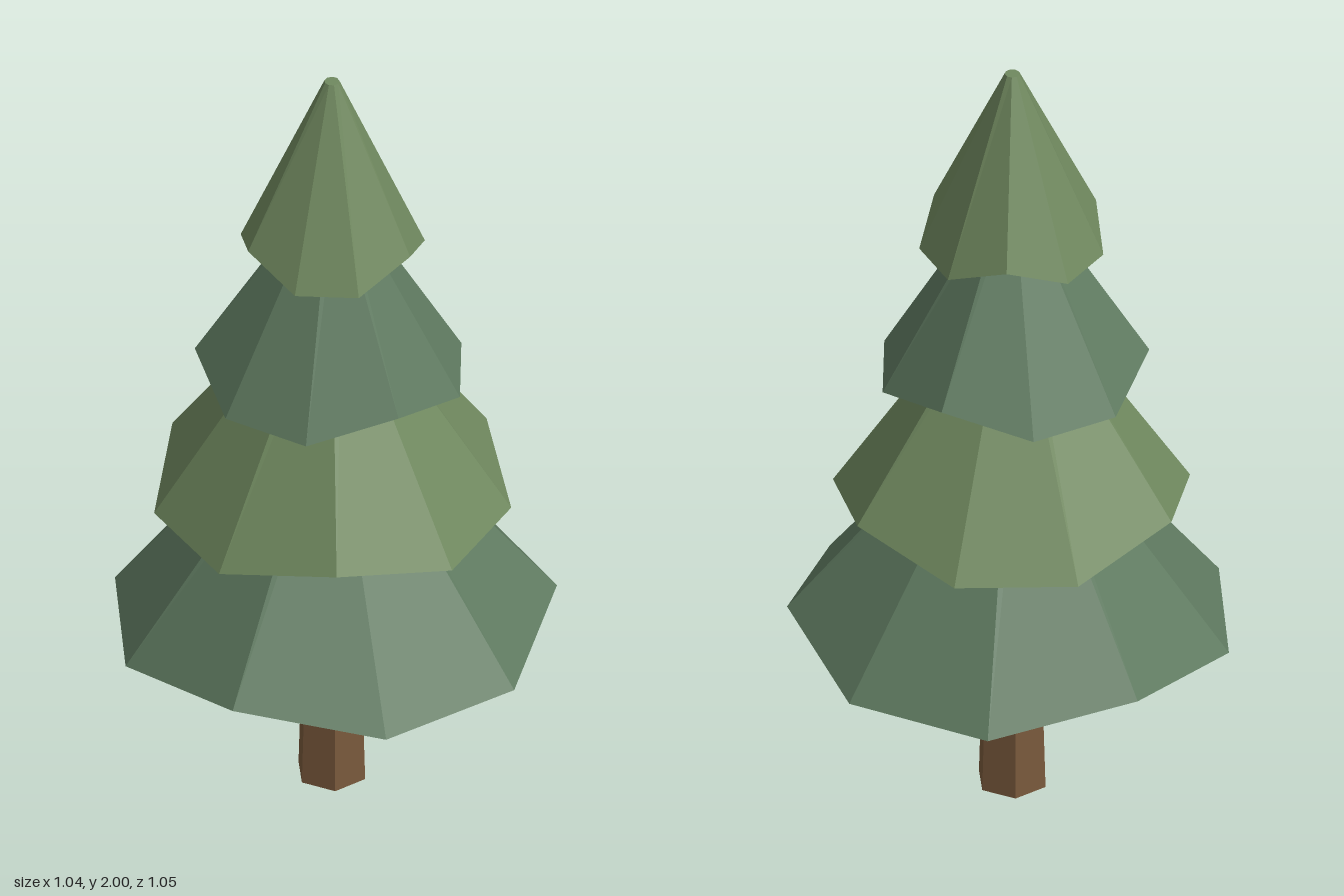
import * as THREE from 'three';

const CENTER_X = 0.012;
const SIDES = 9;
const rad = THREE.MathUtils.degToRad;

const material = (color) => new THREE.MeshStandardMaterial({ color, flatShading: true });

// Nine-sided cone whose rim is lifted at every third corner
function foliageTier(radius, topRadius, rimY, topY, turn) {
  const h = topY - rimY;
  const geo = new THREE.CylinderGeometry(topRadius, radius, h, SIDES, 1);
  geo.translate(0, rimY + h / 2, 0);
  const p = geo.attributes.position;
  for (let i = 0; i < p.count; i++) {
    if (p.getY(i) > rimY + h / 2) continue;
    const x = p.getX(i), z = p.getZ(i);
    if (Math.hypot(x, z) < 0.01) {
      p.setY(i, rimY + 0.018); // middle of the underside
    } else {
      const corner = Math.round(Math.atan2(x, z) / (2 * Math.PI / SIDES));
      if (corner % 3 === 0) p.setY(i, rimY + 0.056);
    }
  }
  geo.rotateY(turn);
  geo.computeVertexNormals();
  return geo;
}

export function createModel() {
  const tree = new THREE.Group();
  tree.name = 'pineTree';

  // Six-sided tapering trunk
  const trunkGeo = new THREE.CylinderGeometry(0.068, 0.087, 0.64, 6);
  trunkGeo.translate(0, 0.32, 0);
  const trunk = new THREE.Mesh(trunkGeo, material(0x7a5a3c));
  trunk.name = 'trunk';
  trunk.position.x = CENTER_X;
  tree.add(trunk);

  // Foliage tiers, bottom to top: radius, top radius, rim height, top height
  const green = [material(0x5f7a60), material(0x70895f)];
  const tiers = [
    [0.535, 0.043, 0.455, 1.1],
    [0.43, 0.035, 0.807, 1.42],
    [0.325, 0.026, 1.165, 1.69],
    [0.222, 0.018, 1.52, 2.0],
  ];
  tiers.forEach(([r, rTop, y0, y1], i) => {
    const tier = new THREE.Mesh(foliageTier(r, rTop, y0, y1, rad(28.6 + 27.6 * i)), green[i % 2]);
    tier.name = `foliageTier${i + 1}`;
    tier.position.x = CENTER_X;
    tree.add(tier);
  });

  return tree;
}
